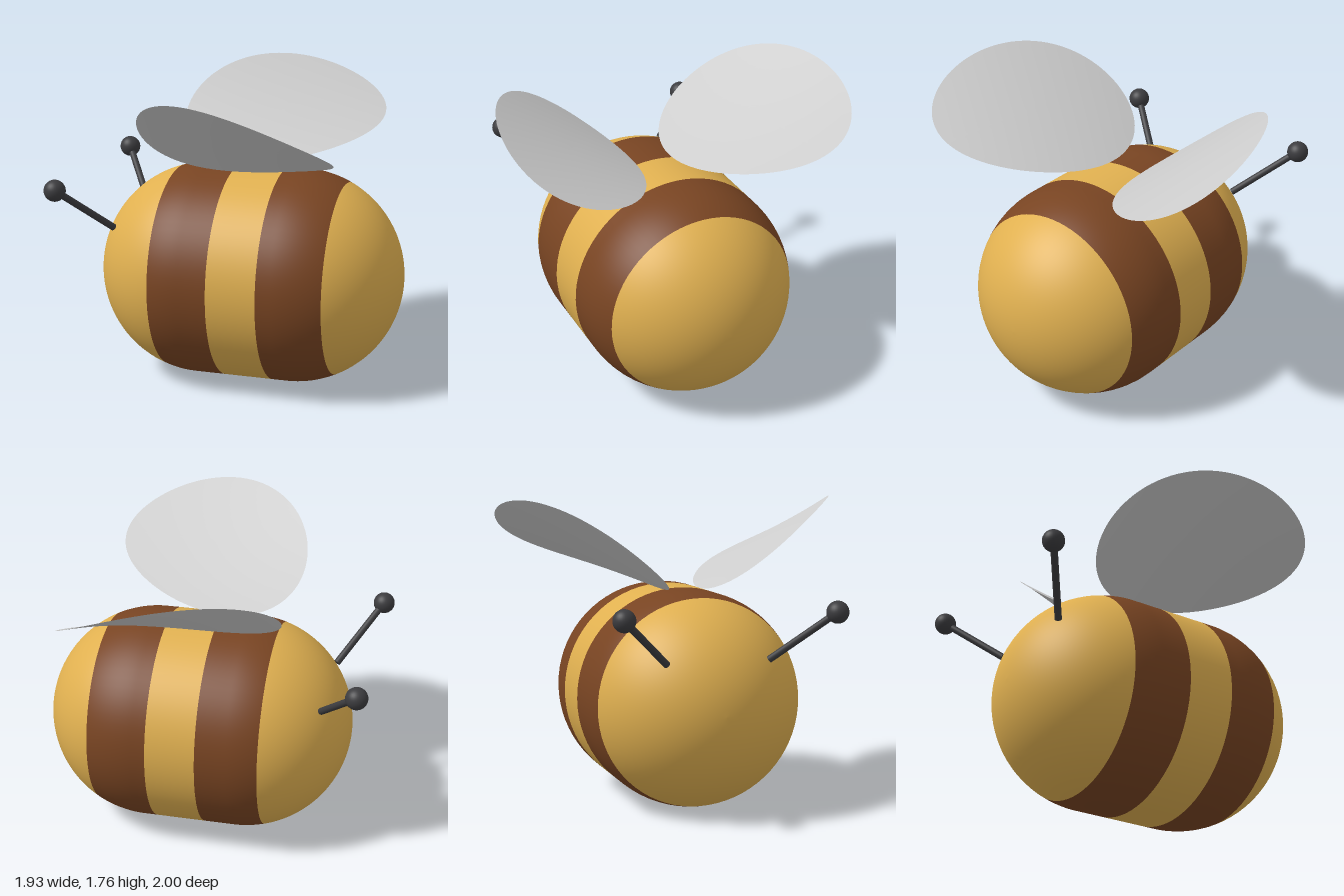
import * as THREE from 'three';

const paint = (color, extra = {}) => new THREE.MeshStandardMaterial({ color, ...extra });

export function createModel() {
  const model = new THREE.Group();
  const yellow = paint(0xe0b050);
  const brown = paint(0x784422);
  const dark = paint(0x3c3c3f);
  const wingMaterial = paint(0xcccccc, { side: THREE.DoubleSide });

  const add = (name, geometry, material, parent = model) => {
    const mesh = new THREE.Mesh(geometry, material);
    mesh.name = name;
    parent.add(mesh);
    return mesh;
  };

  // Capsule body along x, cut into flush colour bands
  const R = 0.62, tail = 0.34, head = -0.2;
  const radiusAt = (x) => {
    const d = x > tail ? x - tail : x < head ? head - x : 0;
    return Math.sqrt(Math.max(0, R * R - d * d));
  };
  const bands = [
    ['head', -0.82, -0.375, yellow],
    ['frontStripe', -0.375, -0.025, brown],
    ['middleBand', -0.025, 0.26, yellow],
    ['rearStripe', 0.26, 0.615, brown],
    ['tail', 0.615, 0.96, yellow],
  ];
  for (const [name, x0, x1, material] of bands) {
    const points = [];
    for (let i = 0; i <= 32; i++) {
      // samples crowd towards the ends, keeping the poles round
      const t = (1 - Math.cos((i / 32) * Math.PI)) / 2;
      const x = x0 + (x1 - x0) * t;
      points.push(new THREE.Vector2(radiusAt(x), x));
    }
    add(name, new THREE.LatheGeometry(points, 72).rotateZ(-Math.PI / 2), material).position.y = R;
  }

  for (const side of [1, -1]) {
    const label = side > 0 ? 'front' : 'back';

    // Antenna: thin rod with a ball on its tip
    const antenna = new THREE.Group();
    antenna.name = label + 'Antenna';
    model.add(antenna);
    const base = new THREE.Vector3(-0.68, 0.9, side * 0.295);
    const tip = new THREE.Vector3(-0.908, 1.175, side * 0.597);
    const axis = tip.clone().sub(base);
    const rod = add('antennaRod', new THREE.CylinderGeometry(0.02, 0.02, axis.length(), 20), dark, antenna);
    rod.position.copy(base).addScaledVector(axis, 0.5);
    rod.quaternion.setFromUnitVectors(new THREE.Vector3(0, 1, 0), axis.normalize());
    add('antennaBall', new THREE.SphereGeometry(0.062, 32, 20), dark, antenna).position.copy(tip);

    // Wing: slanted oval sheet, raised outwards with a slight twist
    const wing = new THREE.RingGeometry(0, 1, 96, 12);
    const p = wing.attributes.position;
    for (let i = 0; i < p.count; i++) {
      const u = 0.58 * p.getX(i);
      const w = 0.14 * p.getX(i) - side * 0.4225 * p.getY(i);
      const y = 1.493 - 0.168 * u + 0.59 * w - 0.32 * u * w;
      p.setXYZ(i, 0.118 + u, y, side * (0.555 + w));
    }
    wing.computeVertexNormals();
    add(label + 'Wing', wing, wingMaterial);
  }

  return model;
}
